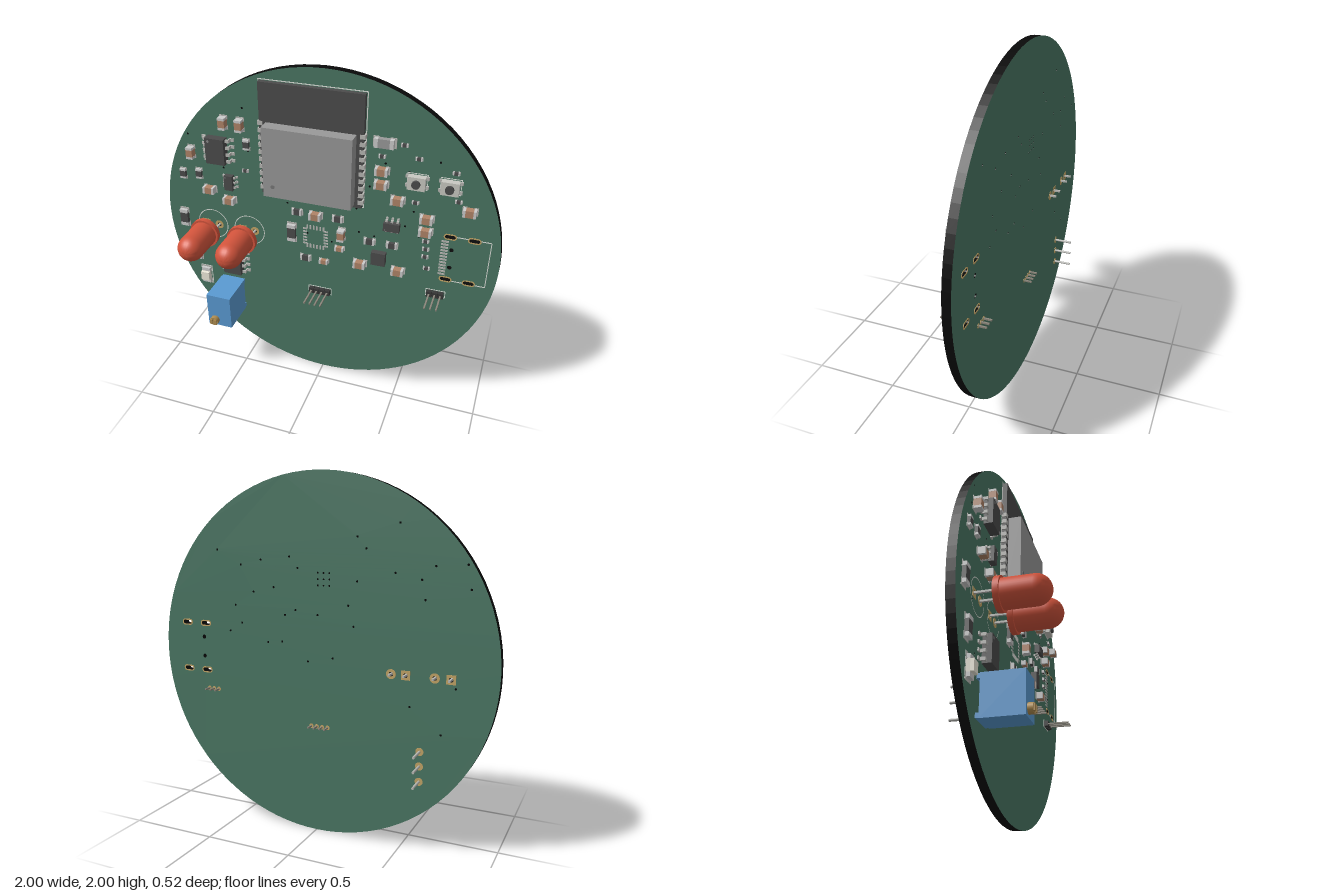
import * as THREE from 'three';
import { toCreasedNormals } from 'three/addons/utils/BufferGeometryUtils.js';

const F = -0.11, B = -0.157; // front and back faces of the board
const mats = {};
const mat = (c) => (mats[c] ??= new THREE.MeshStandardMaterial({ color: c }));
const GREEN = 0x4a7663, BLACK = 0x0a0a0a, DARK = 0x4c4c4c, METAL = 0xb8b8b4, GOLD = 0xc2a466,
  SILK = 0xd8dcd6, TAN = 0xb08468, RED = 0xd2543c, BLUE = 0x5a9ad2, PIN = 0x8c877c;

function add(parent, name, geo, color) {
  const m = new THREE.Mesh(geo, mat(color));
  m.name = name;
  parent.add(m);
  return m;
}
// Box centred on x, y, running from z0 to z1
function box(parent, name, color, x, y, w, h, z0, z1) {
  const m = add(parent, name, new THREE.BoxGeometry(w, h, z1 - z0), color);
  m.position.set(x, y, (z0 + z1) / 2);
  return m;
}
// Cylinder along z
function rod(parent, name, color, x, y, r, z0, z1, sides = 24) {
  const g = new THREE.CylinderGeometry(r, r, z1 - z0, sides).rotateX(Math.PI / 2);
  const m = add(parent, name, g, color);
  m.position.set(x, y, (z0 + z1) / 2);
  return m;
}
function group(parent, name, x = 0, y = 0) {
  const g = new THREE.Group();
  g.name = name;
  g.position.set(x, y, 0);
  parent.add(g);
  return g;
}
const circle = (C, x, y, r) => new C().absarc(x, y, r, 0, Math.PI * 2);
const stadium = (C, x, y, half, r) => new C()
  .absarc(x + half, y, r, -Math.PI / 2, Math.PI / 2)
  .absarc(x - half, y, r, Math.PI / 2, Math.PI * 1.5).closePath();
// Thin plate with a hole, laid on both faces of the board
function plating(parent, name, outer, hole) {
  outer.holes.push(hole);
  for (const z of [F, B - 0.002]) {
    const g = new THREE.ExtrudeGeometry(outer, { depth: 0.002, bevelEnabled: false, curveSegments: 10 });
    add(parent, name, g, GOLD).position.z = z;
  }
}
// Rectangular printed outline
function outline(parent, x, y, w, h, t = 0.005) {
  for (const s of [-1, 1]) {
    box(parent, 'printedLine', SILK, x, y + s * h / 2, w + t, t, F, F + 0.002);
    box(parent, 'printedLine', SILK, x + s * w / 2, y, t, h, F, F + 0.002);
  }
}

// Two-terminal chip: body, metal ends, solder pads
function chip(parent, name, [x, y, vertical], len, wid, height, color) {
  const g = group(parent, name, x, y);
  box(g, 'body', color, 0, 0, len * 0.6, wid, F, F + height);
  for (const s of [-1, 1]) {
    box(g, 'terminal', 0xc8c8c4, s * len * 0.4, 0, len * 0.2, wid * 1.02, F, F + height + 0.001);
    box(g, 'pad', METAL, s * len * 0.43, 0, len * 0.34, wid * 1.2, F, F + 0.003);
  }
  if (vertical) g.rotation.z = Math.PI / 2;
  return g;
}
// Gull-wing package with rows of legs on the left and right
function gullWing(parent, name, x, y, w, h, height, rows, pitch, leg) {
  const g = group(parent, name, x, y);
  box(g, 'body', DARK, 0, 0, w, h, F + 0.008, F + height);
  rod(g, 'pinMark', 0x8a8a8a, -w * 0.32, h * 0.38, w * 0.07, F + height, F + height + 0.001, 12);
  for (const s of [-1, 1]) for (let i = 0; i < rows; i++) {
    const ly = (i - (rows - 1) / 2) * pitch, t = pitch * 0.42;
    box(g, 'legTop', METAL, s * (w / 2 + leg * 0.2), ly, leg * 0.4, t, F + height * 0.45, F + height * 0.6);
    box(g, 'legDrop', METAL, s * (w / 2 + leg * 0.45), ly, leg * 0.2, t, F + 0.004, F + height * 0.6);
    box(g, 'legFoot', METAL, s * (w / 2 + leg * 0.7), ly, leg * 0.6, t, F, F + 0.008);
  }
}

const slots = [[0.72, 1.152], [0.85, 1.152], [0.72, 0.873], [0.85, 0.873]];
const ledLeads = [-0.755, -0.67, -0.515, -0.435];
const trimmerPins = [0.555, 0.475, 0.39];
const vias = [[.625, 1.58], [.47, 1.5], [.34, 1.53], [.16, 1.55], [.11, 1.49], [-.24, 1.66], [-.29, 1.6],
  [-.47, 1.73], [.39, 1.35], [.51, 1.27], [.47, 1.17], [.55, 1.12], [.26, 1.38], [.19, 1.23], [.125, 1.26],
  [.3, 1.07], [.21, 1.08], [-.01, 1.24], [-.19, 1.3], [-.24, 1.43], [-.22, 1.19], [.05, .98], [-.1, 1.01],
  [-.45, 1.48], [-.59, 1.45], [-.66, 1.52], [-.61, 1.35], [-.82, 1.53], [-.84, 1.41], [-.78, .91], [-.54, .79], [-.71, .66]];

function buildBoard(root) {
  const shape = circle(THREE.Shape, 0, 1, 1);
  const P = THREE.Path;
  for (const [x, y] of slots) shape.holes.push(stadium(P, x, y, 0.018, 0.011));
  for (const [x, y] of vias) shape.holes.push(circle(P, x, y, 0.006));
  for (let i = 0; i < 9; i++) shape.holes.push(circle(P, -0.08 + (i % 3) * 0.034, 1.4 + Math.floor(i / 3) * 0.034, 0.005));
  for (const y of [1.07, 0.955]) shape.holes.push(circle(P, 0.735, y, 0.012));
  for (const x of ledLeads) shape.holes.push(circle(P, x, 0.955, 0.012));
  const g = new THREE.ExtrudeGeometry(shape, { depth: F - B, bevelEnabled: false, curveSegments: 48 });
  const board = new THREE.Mesh(g, [mat(GREEN), mat(BLACK)]);
  board.name = 'board';
  board.position.z = B;
  root.add(board);
}

function buildLed(root, x) {
  const g = group(root, 'indicatorLed', x, 0.955);
  const pts = [[0, 0], [0.09, 0], [0.09, 0.03], [0.078, 0.03], [0.078, 0.19]].map((p) => new THREE.Vector2(...p));
  for (let i = 1; i <= 10; i++) {
    const a = (i / 10) * Math.PI / 2;
    pts.push(new THREE.Vector2(Math.max(0, 0.078 * Math.cos(a)), 0.19 + 0.08 * Math.sin(a)));
  }
  const lens = toCreasedNormals(new THREE.LatheGeometry(pts, 40).rotateX(Math.PI / 2), 0.6);
  add(g, 'lens', lens, RED).position.z = -0.01;
  const ring = add(g, 'printedRing', new THREE.RingGeometry(0.094, 0.099, 40), SILK);
  ring.position.z = F + 0.002;
}

export function createModel() {
  const root = new THREE.Group();
  root.name = 'circuitBoard';
  buildBoard(root);

  // Radio module with metal shield and edge pads
  const radio = group(root, 'radioModule');
  box(radio, 'moduleBoard', DARK, -0.068, 1.575, 0.585, 0.65, F, -0.082);
  box(radio, 'shield', 0x999999, -0.068, 1.475, 0.505, 0.41, -0.082, -0.008);
  rod(radio, 'shieldMark', 0x777777, -0.265, 1.335, 0.012, -0.008, -0.007);
  for (const s of [-1, 1]) for (let i = 0; i < 10; i++) {
    box(radio, 'edgePad', METAL, -0.068 + s * 0.287, 1.285 + i * 0.043, 0.03, 0.024, F, -0.079);
  }
  outline(radio, -0.068, 1.575, 0.597, 0.662);

  // Red lamps with leads
  for (const x of [-0.71, -0.47]) buildLed(root, x);
  ledLeads.forEach((x, i) => {
    box(root, 'ledLead', METAL, x, 0.955, 0.011, 0.011, -0.197, -0.008);
    const outer = i % 2 ? circle(THREE.Shape, x, 0.955, 0.027)
      : new THREE.Shape([[-1, -1], [1, -1], [1, 1], [-1, 1]].map(([a, b]) => new THREE.Vector2(x + a * 0.025, 0.955 + b * 0.025)));
    plating(root, 'ledPad', outer, circle(THREE.Path, x, 0.955, 0.012));
  });

  // Blue trimmer with slotted screw
  const trim = group(root, 'trimmer');
  box(trim, 'body', BLUE, -0.602, 0.47, 0.155, 0.22, -0.092, 0.125);
  for (const y of [0.375, 0.565]) box(trim, 'foot', BLUE, -0.602, y, 0.15, 0.025, F, -0.092);
  rod(trim, 'screw', 0xb08d50, -0.632, 0.402, 0.028, 0.125, 0.152);
  for (const s of [-1, 1]) box(trim, 'screwLip', 0xb08d50, -0.632 + s * 0.014, 0.402, 0.016, 0.036, 0.152, 0.16);
  for (const y of trimmerPins) {
    rod(trim, 'pin', METAL, -0.6, y, 0.007, -0.262, -0.09, 12);
    rod(trim, 'pad', GOLD, -0.6, y, 0.022, B - 0.002, B);
  }

  // Pin headers
  for (const [x, y, n] of [[-0.02, 0.615, 4], [0.675, 0.762, 3]]) {
    const g = group(root, 'pinHeader', x, y);
    for (let i = 0; i < n; i++) {
      const px = (i - (n - 1) / 2) * 0.033;
      box(g, 'block', 0x383838, px, 0, 0.031, 0.034, F, F + 0.025);
      box(g, 'pin', PIN, px, 0, 0.009, 0.009, -0.203, 0.047);
      rod(g, 'pad', GOLD, px, 0, 0.013, B - 0.002, B, 16);
    }
    outline(g, 0, 0, n * 0.033 + 0.012, 0.044, 0.004);
  }

  // Connector footprint: plated slots, contact pads, printed outline
  const port = group(root, 'connectorFootprint');
  for (const [x, y] of slots) plating(port, 'slotPlating', stadium(THREE.Shape, x, y, 0.018, 0.018), stadium(THREE.Path, x, y, 0.018, 0.011));
  for (let i = 0; i < 12; i++) box(port, 'contactPad', METAL, 0.695, 0.905 + i * 0.0195, 0.04, 0.011, F, F + 0.003);
  box(port, 'printedLine', SILK, 0.94, 1.012, 0.005, 0.29, F, F + 0.002);
  for (const y of [0.867, 1.157]) for (const [x, w] of [[0.785, 0.06], [0.912, 0.055]]) {
    box(port, 'printedLine', SILK, x, y, w, 0.005, F, F + 0.002);
  }

  // Integrated circuits
  gullWing(root, 'largeChip', -0.63, 1.47, 0.115, 0.155, 0.058, 4, 0.042, 0.042);
  gullWing(root, 'largeChip', -0.58, 0.72, 0.115, 0.155, 0.058, 4, 0.042, 0.042);
  gullWing(root, 'smallChip', -0.57, 1.272, 0.052, 0.092, 0.04, 3, 0.031, 0.022);
  const sensor = group(root, 'turnedChip', 0.4, 1.165);
  gullWing(sensor, 'smallChip', 0, 0, 0.05, 0.09, 0.04, 3, 0.031, 0.022);
  sensor.rotation.z = Math.PI / 2;
  box(root, 'squareChip', DARK, 0.335, 0.94, 0.082, 0.082, F, F + 0.035);

  // Bare square footprint
  const quad = group(root, 'squareFootprint', -0.05, 0.99);
  for (let k = 0; k < 4; k++) {
    const side = group(quad, 'padRow');
    side.rotation.z = k * Math.PI / 2;
    for (let i = 0; i < 6; i++) box(side, 'pad', METAL, (i - 2.5) * 0.02, 0.064, 0.01, 0.026, F, F + 0.003);
  }

  // Capacitors: x, y, upright
  for (const c of [[-.585, 1.635, 1], [-.485, 1.635, 1], [-.805, 1.425, 1], [-.705, 1.2], [-.58, 1.15], [-.045, 1.145],
    [.11, 1.05, 1], [.225, .875], [.45, .875], [.585, 1.245], [.585, 1.165], [.42, 1.33], [.325, 1.49], [.325, 1.41], [.805, 1.33]]) {
    chip(root, 'capacitor', c, 0.07, 0.04, 0.042, TAN);
  }
  for (const c of [[.1, .95], [.005, .84]]) chip(root, 'smallCapacitor', c, 0.052, 0.026, 0.026, TAN);

  // Resistors in three sizes
  for (const r of [[-.9, .97, 1], [-.835, .735, 1], [-.195, 1, 1]]) chip(root, 'largeResistor', r, 0.11, 0.05, 0.022, DARK);
  for (const r of [[-.455, 1.52, 1], [-.875, 1.275, 1], [-.77, 1.29, 1], [-.16, 1.145], [.085, 1.145], [-.11, .84], [.275, 1.035], [.405, 1.035]]) {
    chip(root, 'resistor', r, 0.06, 0.036, 0.018, DARK);
  }
  for (const r of [[-.47, 1.355], [.435, 1.65], [.515, 1.585], [.32, 1.57], [.71, 1.535], [.74, 1.375], [.515, 1.33], [.59, 1.1], [.595, 1.05],
    [.595, 1.0], [.61, .925]]) {
    chip(root, 'tinyResistor', r, 0.034, 0.018, 0.013, DARK);
  }

  // Pale surface lamp and crystal
  const lamp = chip(root, 'surfaceLamp', [-0.79, 0.56, 1], 0.11, 0.055, 0.02, 0xe0ddd0);
  box(lamp, 'lampLens', 0xeeebdc, 0, 0, 0.06, 0.055, F + 0.02, F + 0.038);
  outline(lamp, 0, 0, 0.13, 0.074);
  chip(root, 'crystal', [0.33, 1.65], 0.105, 0.05, 0.03, 0x9a9a9a);

  // Push switches
  for (const x of [0.515, 0.69]) {
    const g = group(root, 'pushSwitch', x, 1.455);
    box(g, 'body', 0xc9c9c2, 0, 0, 0.095, 0.075, F, F + 0.038);
    for (const s of [-1, 1]) for (const t of [-1, 1]) box(g, 'tab', METAL, s * 0.052, t * 0.027, 0.022, 0.018, F, F + 0.01);
    rod(g, 'button', DARK, 0, 0, 0.023, F + 0.038, F + 0.052);
    outline(g, 0, 0, 0.108, 0.088, 0.004);
  }
  return root;
}
